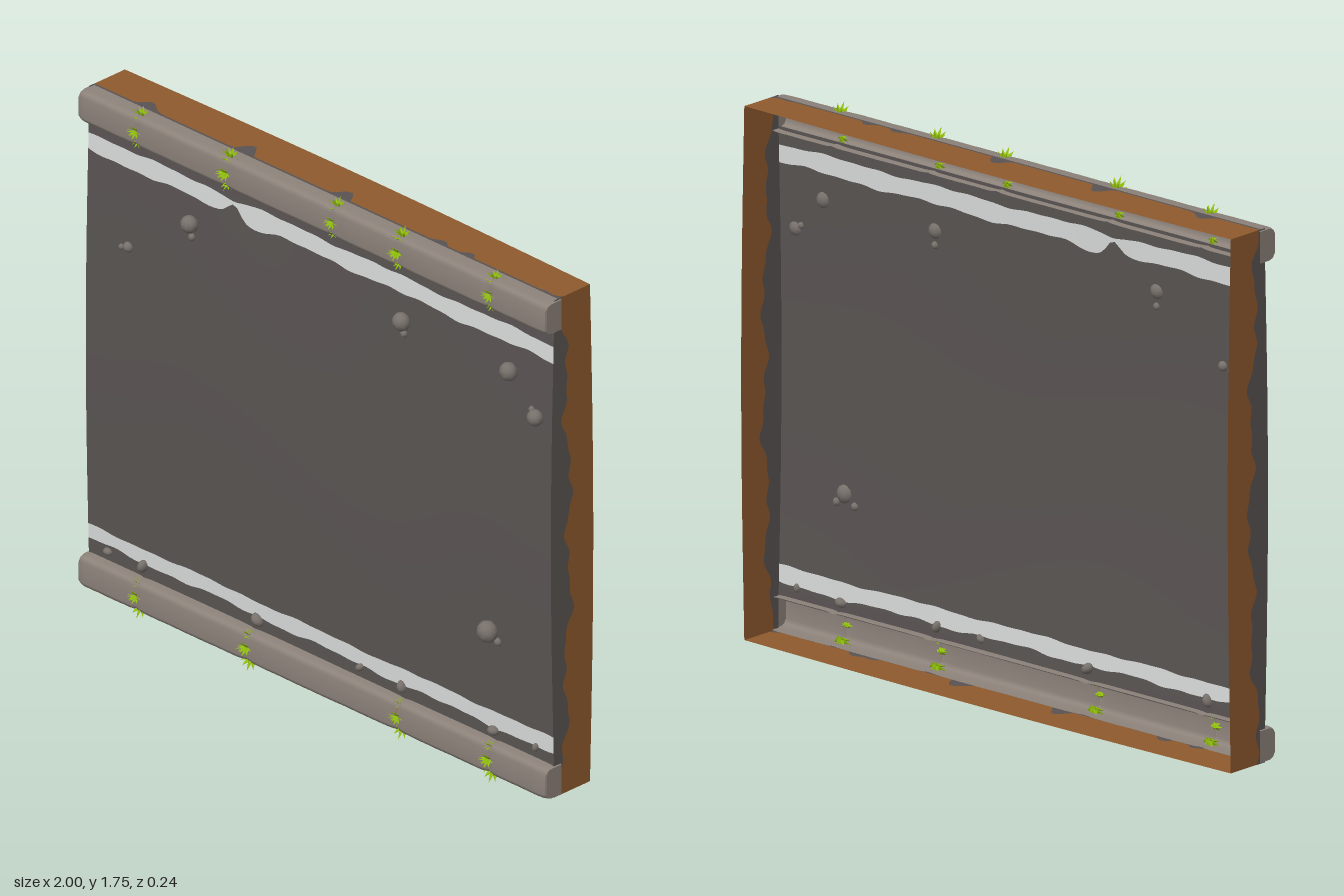
import * as THREE from 'three';
import { mergeGeometries } from 'three/addons/utils/BufferGeometryUtils.js';

const mat = (name, color) => {
  const m = new THREE.MeshStandardMaterial({ color, side: THREE.DoubleSide });
  m.name = name;
  return m;
};

// surface from a rule (u, v) -> [x, y, z]
function surface(rule, nu, nv) {
  const g = new THREE.PlaneGeometry(1, 1, nu, nv), p = g.attributes.position;
  for (let i = 0; i < p.count; i++) p.setXYZ(i, ...rule(p.getX(i) + 0.5, p.getY(i) + 0.5));
  g.computeVertexNormals();
  return g;
}

const lerp = THREE.MathUtils.lerp;
const wobble = (t, k = 0) => 0.5 * Math.sin(t * 13 + k) + 0.3 * Math.sin(t * 29 + k * 2.3) + 0.2 * Math.sin(t * 53 + k * 3.7);

const W = 0.995, BOTTOM = 0.035, TOP = 1.728;
// gently crowned, uneven road surface
const roadZ = (x, y) => 0.047 + 0.013 * Math.sin(Math.PI * THREE.MathUtils.clamp((y - 0.14) / 1.48, 0, 1))
  + 0.002 * Math.sin(x * 4 + y * 3) * (1 - x * x);

export function createModel() {
  const root = new THREE.Group();
  const asphalt = mat('asphalt', 0x595452), paint = mat('paint', 0xd8dbda), dirt = mat('dirt', 0x8f5a2d);
  const stone = mat('curbStone', 0x8c827a), rock = mat('rock', 0x77706b), leaf = mat('leaf', 0x8fbc0c);
  const add = (name, geo, m, parent = root) => {
    const mesh = new THREE.Mesh(geo, m);
    mesh.name = name;
    parent.add(mesh);
    return mesh;
  };

  // road: asphalt bands with ragged painted lines between them
  const nick = x => Math.exp(-(((x + 0.37) / 0.035) ** 2)); // worn spot in the upper line
  const edges = [
    () => 0.13,
    x => 0.186 + 0.008 * wobble(x, 1) - 0.004 * x,
    x => 0.238 + 0.005 * wobble(x, 2),
    x => 1.515 + 0.008 * wobble(x, 3) - 0.012 * Math.exp(-(((x + 0.28) / 0.08) ** 2)) + 0.045 * nick(x),
    x => 1.574 + 0.006 * wobble(x, 4) - 0.008 * nick(x),
    () => 1.63,
  ];
  ['lowerVerge', 'lowerLine', 'roadway', 'upperLine', 'upperVerge'].forEach((name, i) => {
    add(name, surface((u, v) => {
      const x = lerp(-W, W, u), y = lerp(edges[i](x), edges[i + 1](x), v);
      return [x, y, roadZ(x, y)];
    }, 100, i === 2 ? 24 : 2), i % 2 ? paint : asphalt);
  });

  // four thin side walls, dirt with an asphalt fringe dripping over the front edge
  const corners = [[W, BOTTOM], [W, TOP], [-W, TOP], [-W, BOTTOM]];
  ['leftWall', 'topWall', 'rightWall', 'bottomWall'].forEach((name, i) => {
    const a = corners[i], b = corners[(i + 1) % 4], side = i % 2 === 0;
    const at = u => [lerp(a[0], b[0], u), lerp(a[1], b[1], u)];
    const back = u => -0.107 - 0.014 * Math.sin(Math.PI * u);
    const front = u => side ? roadZ(...at(u)) : 0.03;
    const fringe = u => side
      ? 0.015 - 0.033 * Math.sin(Math.PI * u) + 0.025 * wobble(u * 2, i + 1)
      : 0.022 - 0.075 * Math.max(0, wobble(u * 2.2, i) - 0.3);
    add(name, surface((u, v) => [...at(u), lerp(back(u), fringe(u), v)], 120, 1), dirt);
    add(name + 'Fringe', surface((u, v) => [...at(u), lerp(fringe(u), front(u), v)], 120, 1), asphalt);
  });

  // curbs: rows of rounded hollow stones, profile as [y from centre, z]
  const profile = [[-0.054, 0.02], [-0.054, 0.066], [-0.048, 0.081], [-0.034, 0.089], [0.034, 0.089],
    [0.048, 0.081], [0.054, 0.066], [0.054, 0.02]];
  const capShape = new THREE.Shape(profile.map(([y, z]) => new THREE.Vector2(z, y)));

  // tuft of pointed leaves growing along +y, fanned across x
  const tuft = () => {
    const parts = [];
    for (let row = -1; row <= 1; row++) {
      for (let k = -2; k <= 2; k++) {
        if (row && Math.abs(k) === 2) continue;
        const len = 0.05 - 0.004 * Math.abs(k) - 0.008 * Math.abs(row);
        const g = new THREE.ConeGeometry(0.013, len, 4);
        g.scale(1, 1, 0.45).translate(0, len / 2, 0);
        g.rotateZ(-k * 0.55).rotateX(row * 0.75);
        parts.push(g);
      }
    }
    return mergeGeometries(parts).toNonIndexed();
  };
  const plantGeometry = (() => {
    // three tufts wrapped round the curb: outer edge, face, inner edge
    const spots = [[0.038, 0.058, 0.5], [0, 0.08, 1.57], [-0.036, 0.068, 2.3]];
    const g = mergeGeometries(spots.map(([y, z, tilt], i) => {
      const t = tuft();
      const s = i === 2 ? 0.65 : i === 1 ? 0.8 : 1;
      return t.scale(s, s, s).rotateX(tilt).translate(0, y, z);
    }));
    g.computeVertexNormals();
    return g;
  })();

  const curb = (name, cy, flip, seams) => {
    const group = new THREE.Group();
    group.name = name;
    group.position.y = cy;
    root.add(group);
    const stops = [-1, ...seams, 1];
    for (let i = 0; i + 1 < stops.length; i++) {
      const n = profile.length - 1;
      add('curbStone', surface((u, v) => {
        const [y, z] = profile[Math.round(v * n)];
        const shrink = 1 - 0.07 * Math.pow(Math.abs(2 * u - 1), 12);
        return [lerp(stops[i], stops[i + 1], u), y * shrink, 0.02 + (z - 0.02) * shrink + 0.001 * wobble(u, i)];
      }, 24, n), stone, group);
    }
    for (const x of [-1, 1]) {
      const cap = add('curbEnd', new THREE.ShapeGeometry(capShape), stone, group);
      cap.rotation.y = -Math.PI / 2;
      cap.scale.set(0.97, 0.93, 1);
      cap.position.x = x * 0.999;
    }
    seams.forEach((x, i) => {
      const plant = add('plant', plantGeometry, leaf, group);
      plant.position.x = x;
      plant.rotation.z = flip ? Math.PI : 0;
      plant.scale.setScalar(i % 2 ? 1 : 0.96);
    });
  };
  curb('upperCurb', 1.673, false, [-0.76, -0.375, 0.08, 0.36, 0.755]);
  curb('lowerCurb', 0.09, true, [-0.76, -0.285, 0.36, 0.75]);

  // loose stones half sunk in the road: x, y, radius
  const stones = [
    [-0.545, 1.43, 0.03], [-0.545, 1.383, 0.013], [0.36, 1.43, 0.031], [0.36, 1.385, 0.013],
    [0.82, 1.43, 0.031], [0.935, 1.315, 0.028], [0.91, 1.33, 0.012], [-0.815, 1.25, 0.018], [-0.845, 1.24, 0.01],
    [0.735, 0.515, 0.036], [0.69, 0.485, 0.014], [0.765, 0.485, 0.014],
    [-0.91, 0.175, 0.017], [-0.76, 0.18, 0.023], [-0.27, 0.178, 0.024], [0.17, 0.178, 0.017],
    [0.35, 0.178, 0.021], [0.74, 0.172, 0.022], [0.92, 0.18, 0.015],
  ];
  const rockGeometry = new THREE.SphereGeometry(1, 10, 7);
  stones.forEach(([x, y, r], i) => {
    const m = add('looseStone', rockGeometry, rock);
    m.position.set(x, y, roadZ(x, y) + r * (r > 0.025 ? 0.45 : 0.1));
    m.scale.set(r, r * (y < 0.2 ? 0.7 : 0.95), r * 0.9);
    m.rotation.z = i * 1.3;
  });

  return root;
}
